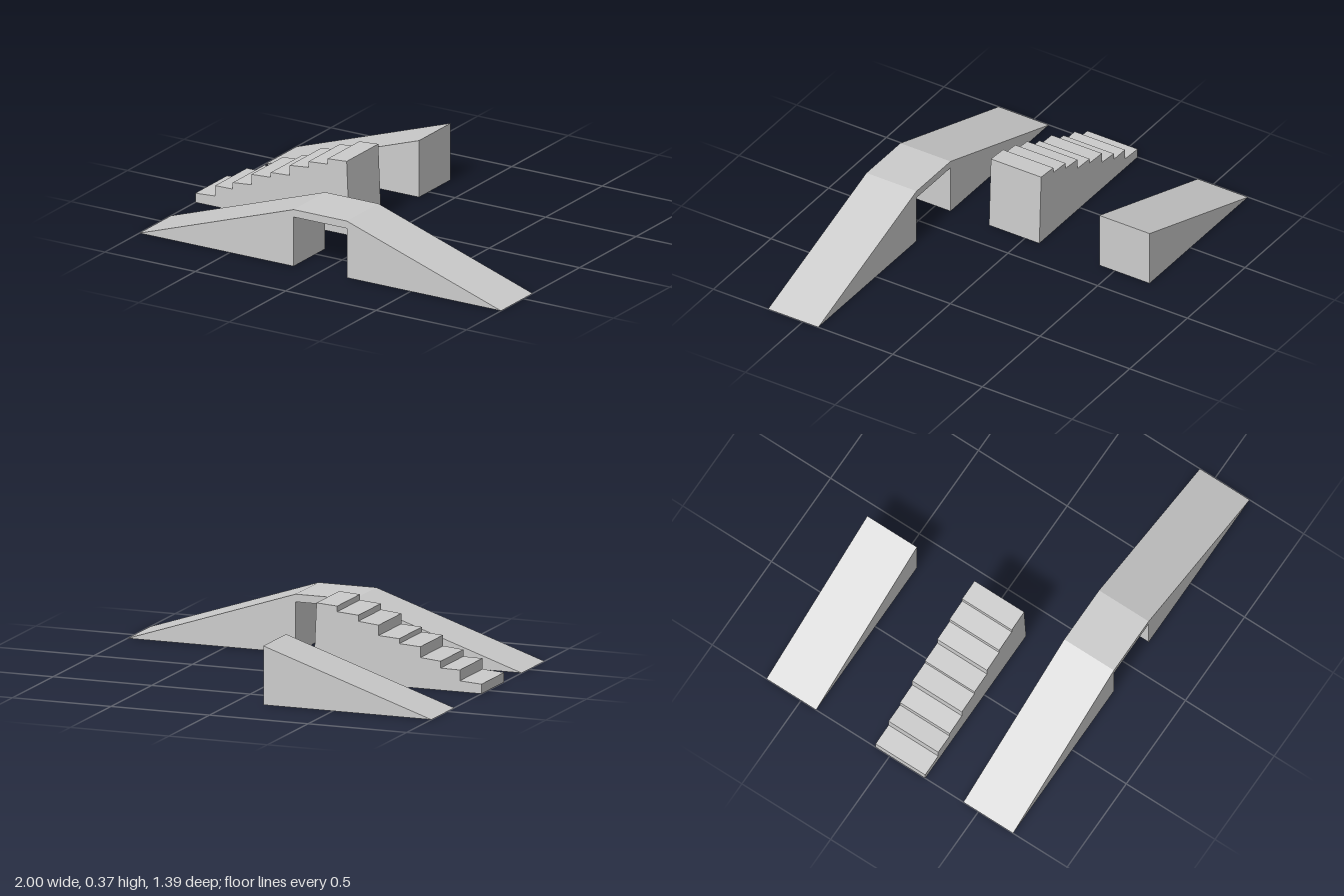
import * as THREE from 'three';

const material = new THREE.MeshStandardMaterial({ color: 0xcccccc, flatShading: true });
const WIDTH = 0.28;

// Extrudes a side profile (x, y) across the common width, centred on z
function block(name, points, z) {
  const shape = new THREE.Shape(points.map(([x, y]) => new THREE.Vector2(x, y)));
  const geometry = new THREE.ExtrudeGeometry(shape, { depth: WIDTH, bevelEnabled: false });
  geometry.translate(0, 0, z - WIDTH / 2);
  const mesh = new THREE.Mesh(geometry, material);
  mesh.name = name;
  return mesh;
}

export function createModel() {
  const group = new THREE.Group();
  group.name = 'rampSet';
  const inner = 0.147, top = 0.283, under = 0.246;

  // Two ramps joined by a flat deck over a gap
  group.add(block('bridgeRamp', [
    [-1, 0], [-inner, 0], [-inner, under], [inner, under], [inner, 0],
    [1, 0], [inner, top], [-inner, top],
  ], 0.555));

  // Single wedge ramp at the back
  group.add(block('wedgeRamp', [[-1, 0], [-inner, 0], [-inner, top]], -0.555));

  // Staircase: each tread is [end x, height at its start, height at its end]
  const treads = [
    [-0.89, 0.046, 0.053], [-0.793, 0.105, 0.106], [-0.69, 0.139, 0.148],
    [-0.583, 0.2, 0.206], [-0.478, 0.23, 0.236], [-0.375, 0.286, 0.296],
    [-0.268, 0.325, 0.333], [-0.163, 0.36, 0.367],
  ];
  const outline = [[-inner, 0], [-1, 0]];
  let x = -1;
  for (const [endX, startY, endY] of treads) {
    outline.push([x, startY], [endX, endY]);
    x = endX;
  }
  group.add(block('staircase', outline.reverse(), 0.06));

  return group;
}
